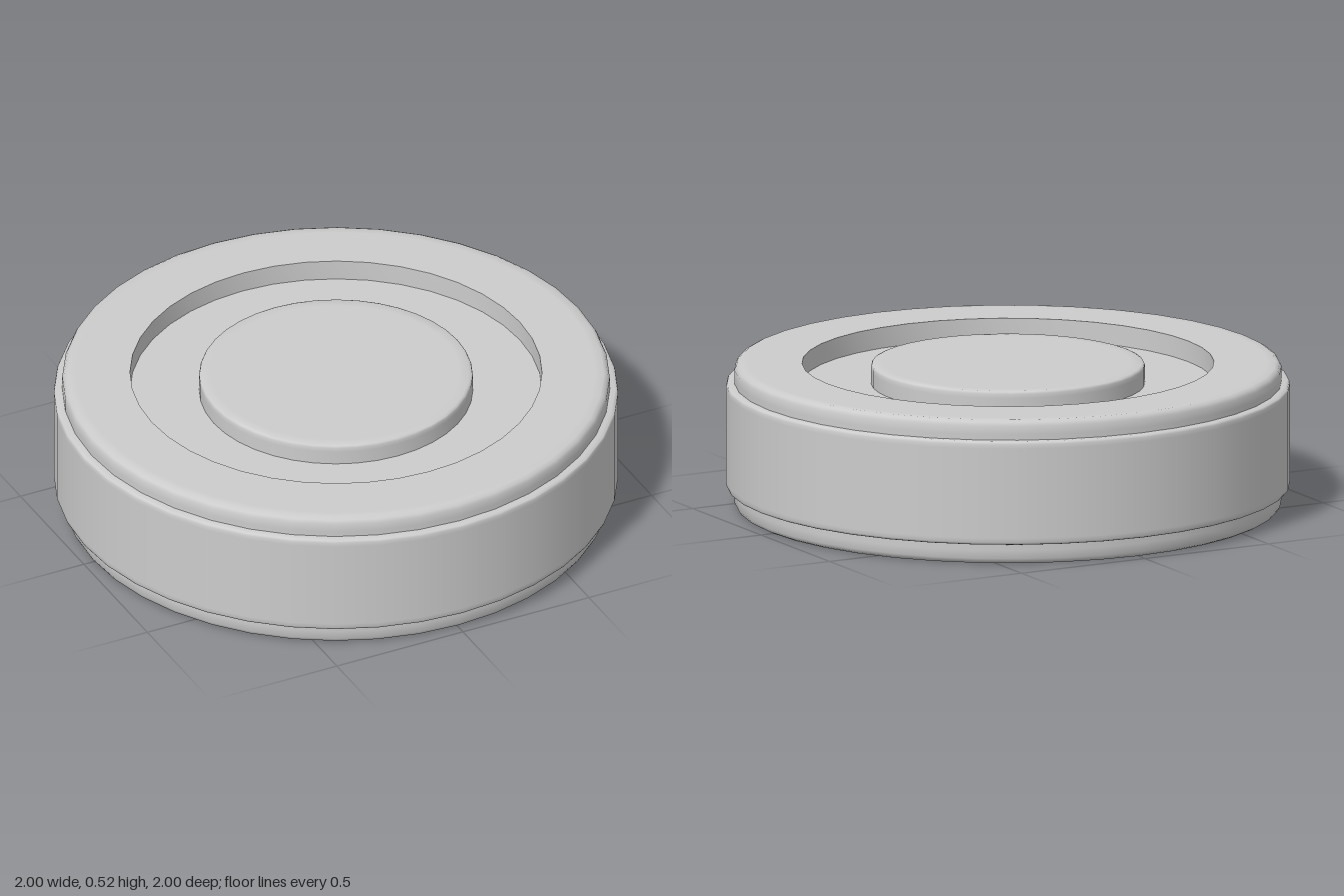
import * as THREE from 'three';
import { toCreasedNormals } from 'three/addons/utils/BufferGeometryUtils.js';

const SIDES = 40;

// Turn a profile of [radius, height] pairs, listed bottom to top, around the y axis
function turned(name, profile, material) {
  const points = profile.map(([r, y]) => new THREE.Vector2(r, y));
  const geometry = toCreasedNormals(new THREE.LatheGeometry(points, SIDES), 0.9);
  const mesh = new THREE.Mesh(geometry, material);
  mesh.name = name;
  return mesh;
}

export function createModel() {
  const group = new THREE.Group();
  group.name = 'recessedDisc';
  const grey = new THREE.MeshStandardMaterial({ color: 0xcccccc });
  grey.name = 'light grey';

  const height = 0.52;
  const floorLow = 0.06;
  const floorHigh = 0.445;

  // Main body: two softened rims around sunken faces
  group.add(turned('body', [
    [0, floorLow], [0.73, floorLow], [0.73, 0],
    [0.92, 0], [0.95, 0], [0.963, 0.007], [0.97, 0.02], [0.97, 0.05],
    [0.97, 0.47], [0.97, 0.5], [0.963, 0.513], [0.95, height], [0.92, height],
    [0.73, height], [0.73, floorHigh], [0, floorHigh],
  ], grey));

  // Wide band around the outside, with slightly eased edges
  group.add(turned('outerBand', [
    [0.96, 0.075], [0.99, 0.075], [0.997, 0.078], [1, 0.085], [1, 0.1],
    [1, 0.425], [1, 0.44], [0.997, 0.447], [0.99, 0.45], [0.96, 0.45],
  ], grey));

  // Round hubs standing in both recesses, level with the rims
  group.add(turned('topHub', [
    [0.485, floorHigh - 0.01], [0.485, 0.495], [0.485, 0.51],
    [0.482, 0.517], [0.475, height], [0.44, height], [0, height],
  ], grey));
  group.add(turned('bottomHub', [
    [0, 0], [0.44, 0], [0.475, 0], [0.482, 0.003],
    [0.485, 0.01], [0.485, 0.025], [0.485, floorLow + 0.01],
  ], grey));

  return group;
}
